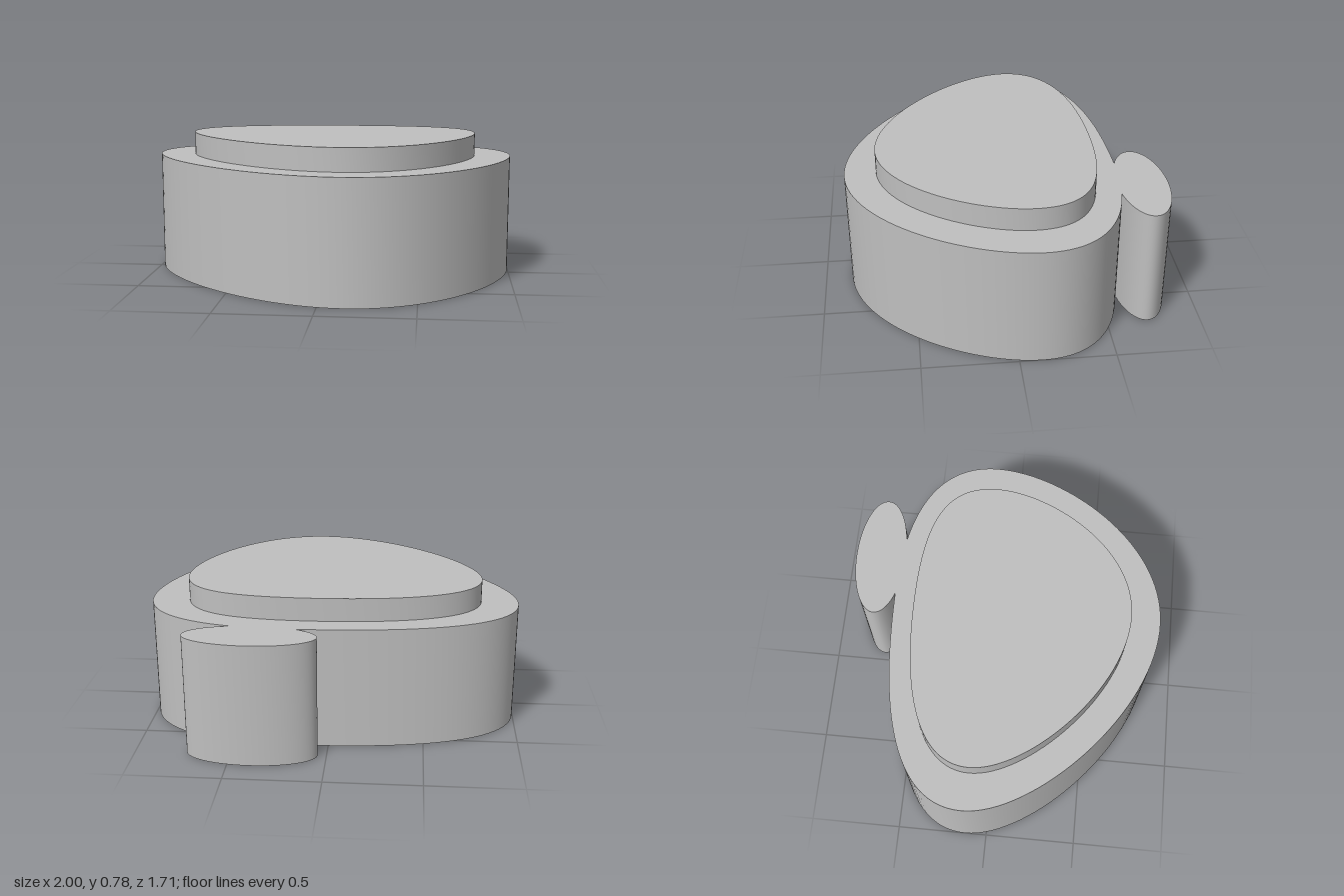
import * as THREE from 'three';
import { toCreasedNormals } from 'three/addons/utils/BufferGeometryUtils.js';

// Closed smooth outline from Bezier segments [c1x, c1z, c2x, c2z, x, z]
function outline(start, segments) {
  const shape = new THREE.Shape();
  shape.moveTo(start[0], -start[1]);
  for (const [ax, az, bx, bz, x, z] of segments) {
    shape.bezierCurveTo(ax, -az, bx, -bz, x, -z);
  }
  return shape;
}

// Upright slab with the given plan, between two heights
function slab(name, shape, bottom, top, material) {
  const extruded = new THREE.ExtrudeGeometry(shape, {
    depth: top - bottom, bevelEnabled: false, curveSegments: 32,
  });
  extruded.rotateX(-Math.PI / 2);
  extruded.translate(0, bottom, 0);
  const mesh = new THREE.Mesh(toCreasedNormals(extruded, 0.6), material);
  mesh.name = name;
  return mesh;
}

export function createModel() {
  const group = new THREE.Group();
  group.name = 'roundedPlinth';
  const grey = new THREE.MeshStandardMaterial({ color: 0xbfbfbf });
  grey.name = 'grey';

  const bodyHeight = 0.655;

  // Main body, a rounded triangle in plan
  const bodyPlan = outline([-1, -0.12], [
    [-1, 0.25, -0.38, 0.855, 0.13, 0.855],
    [0.62, 0.855, 1, 0.27, 1, -0.12],
    [1, -0.45, 0.7, -0.613, 0.2, -0.613],
    [-0.3, -0.613, -1, -0.55, -1, -0.12],
  ]);
  group.add(slab('body', bodyPlan, 0, bodyHeight, grey));

  // Raised step on top
  const stepPlan = outline([-0.8, -0.1], [
    [-0.8, 0.2, -0.3, 0.685, 0.11, 0.685],
    [0.51, 0.685, 0.8, 0.2, 0.8, -0.1],
    [0.8, -0.4, 0.55, -0.488, 0.1, -0.488],
    [-0.35, -0.488, -0.8, -0.4, -0.8, -0.1],
  ]);
  group.add(slab('topStep', stepPlan, bodyHeight, 0.78, grey));

  // Oval lobe joined to the back
  const lobePlan = new THREE.Shape();
  lobePlan.absellipse(0.388, 0.72, 0.342, 0.138, 0, Math.PI * 2);
  group.add(slab('backLobe', lobePlan, 0, bodyHeight, grey));

  return group;
}
